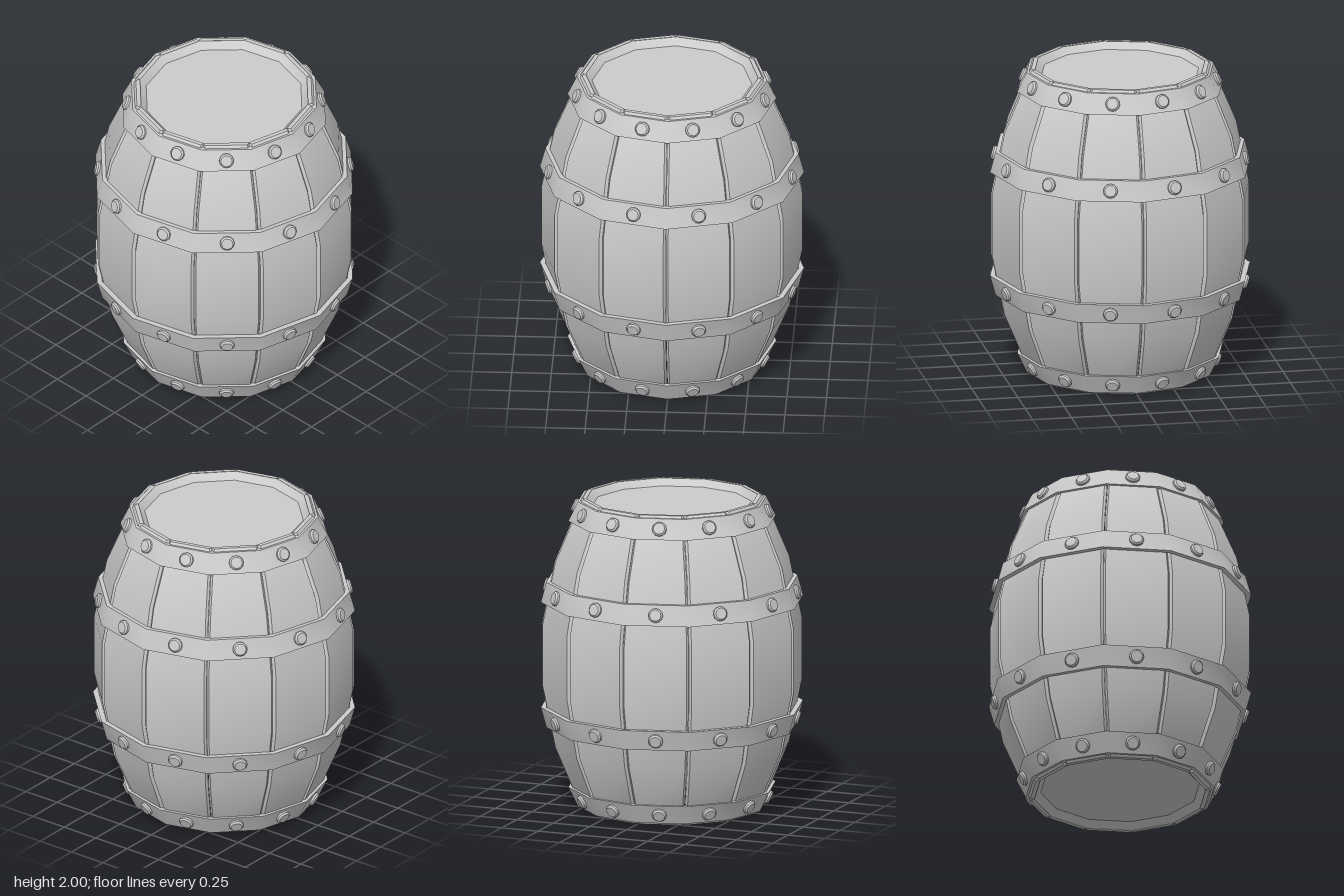
import * as THREE from 'three';
import { toCreasedNormals } from 'three/addons/utils/BufferGeometryUtils.js';

const SIDES = 12;
const STEP = (Math.PI * 2) / SIDES;
const HALF = STEP / 2;
const CREASE = 0.6; // smooth over 30 degree facets, sharp at bevels
const material = new THREE.MeshStandardMaterial({ color: 0xcccccc });

function lathe(points, sides = SIDES) {
  const profile = points.map(([r, y]) => new THREE.Vector2(r, y));
  return toCreasedNormals(new THREE.LatheGeometry(profile, sides), CREASE);
}

function addMesh(parent, name, geometry) {
  const mesh = new THREE.Mesh(geometry, material);
  mesh.name = name;
  parent.add(mesh);
  return mesh;
}

// One bulging plank: a chamfered section swept through the height, facing +z
function staveGeometry() {
  const levels = [[0, 0.572], [0.018, 0.588], [0.4, 0.748], [0.8, 0.829],
    [1.2, 0.829], [1.6, 0.748], [1.982, 0.588], [2, 0.572]];
  const chamfer = 0.016, groove = 0.02, thickness = 0.026;
  const positions = [], index = [], n = 6;
  for (const [y, r] of levels) {
    const w = r * Math.sin(HALF), a = r * Math.cos(HALF);
    const side = (depth) => w - depth * Math.tan(HALF) - 0.001;
    const right = [[w - chamfer, a], [side(groove), a - groove], [side(thickness), a - thickness]];
    const left = right.map(([x, z]) => [-x, z]).reverse();
    const section = [left[2], ...right, left[0], left[1]];
    for (const [x, z] of section) positions.push(x, y, z);
  }
  const top = (levels.length - 1) * n;
  for (let i = 0; i < top; i += n) {
    for (let j = 0; j < n; j++) {
      const k = (j + 1) % n;
      index.push(i + j, i + k, i + n + k, i + j, i + n + k, i + n + j);
    }
  }
  for (let k = 1; k < n - 1; k++) {
    index.push(top, top + k, top + k + 1, 0, k + 1, k);
  }
  const geometry = new THREE.BufferGeometry();
  geometry.setAttribute('position', new THREE.Float32BufferAttribute(positions, 3));
  geometry.setIndex(index);
  return toCreasedNormals(geometry, CREASE);
}

// Iron ring with one rivet in the middle of every facet
function createHoop(name, y0, r0, y1, r1, rivet) {
  const hoop = new THREE.Group();
  hoop.name = name;
  const t = 0.034;
  addMesh(hoop, 'hoopBand', lathe([[r0, y0], [r1, y1], [r1 - t, y1], [r0 - t, y0], [r0, y0]]));
  const apothem = ((r0 + r1) / 2) * Math.cos(HALF);
  const tilt = Math.atan2(y1 - y0, (r0 - r1) * Math.cos(HALF));
  for (let i = 0; i < SIDES; i++) {
    const pivot = new THREE.Group();
    pivot.name = 'rivetMount';
    pivot.rotation.y = HALF + i * STEP;
    const mesh = addMesh(pivot, 'rivet', rivet);
    mesh.position.set(0, (y0 + y1) / 2, apothem);
    mesh.rotation.x = tilt;
    hoop.add(pivot);
  }
  return hoop;
}

export function createModel() {
  const barrel = new THREE.Group();
  barrel.name = 'barrel';

  // Staves
  const stave = staveGeometry();
  for (let i = 0; i < SIDES; i++) {
    addMesh(barrel, 'stave', stave).rotation.y = HALF + i * STEP;
  }

  // Recessed lids with sloping rims
  addMesh(barrel, 'topLid', lathe([[0.549, 1.998], [0.505, 1.955], [0, 1.955]]));
  addMesh(barrel, 'bottomLid', lathe([[0, 0.045], [0.505, 0.045], [0.549, 0.002]]));

  // Hoops, the lower pair mirroring the upper pair
  const rivet = lathe([[0.046, -0.01], [0.046, 0.012], [0.036, 0.023], [0, 0.023]], 12);
  const hoops = [['Middle', 1.34, 0.835, 1.47, 0.8], ['End', 1.86, 0.66, 1.985, 0.6]];
  for (const [name, y0, r0, y1, r1] of hoops) {
    barrel.add(createHoop('upper' + name + 'Hoop', y0, r0, y1, r1, rivet));
    barrel.add(createHoop('lower' + name + 'Hoop', 2 - y1, r1, 2 - y0, r0, rivet));
  }
  return barrel;
}
